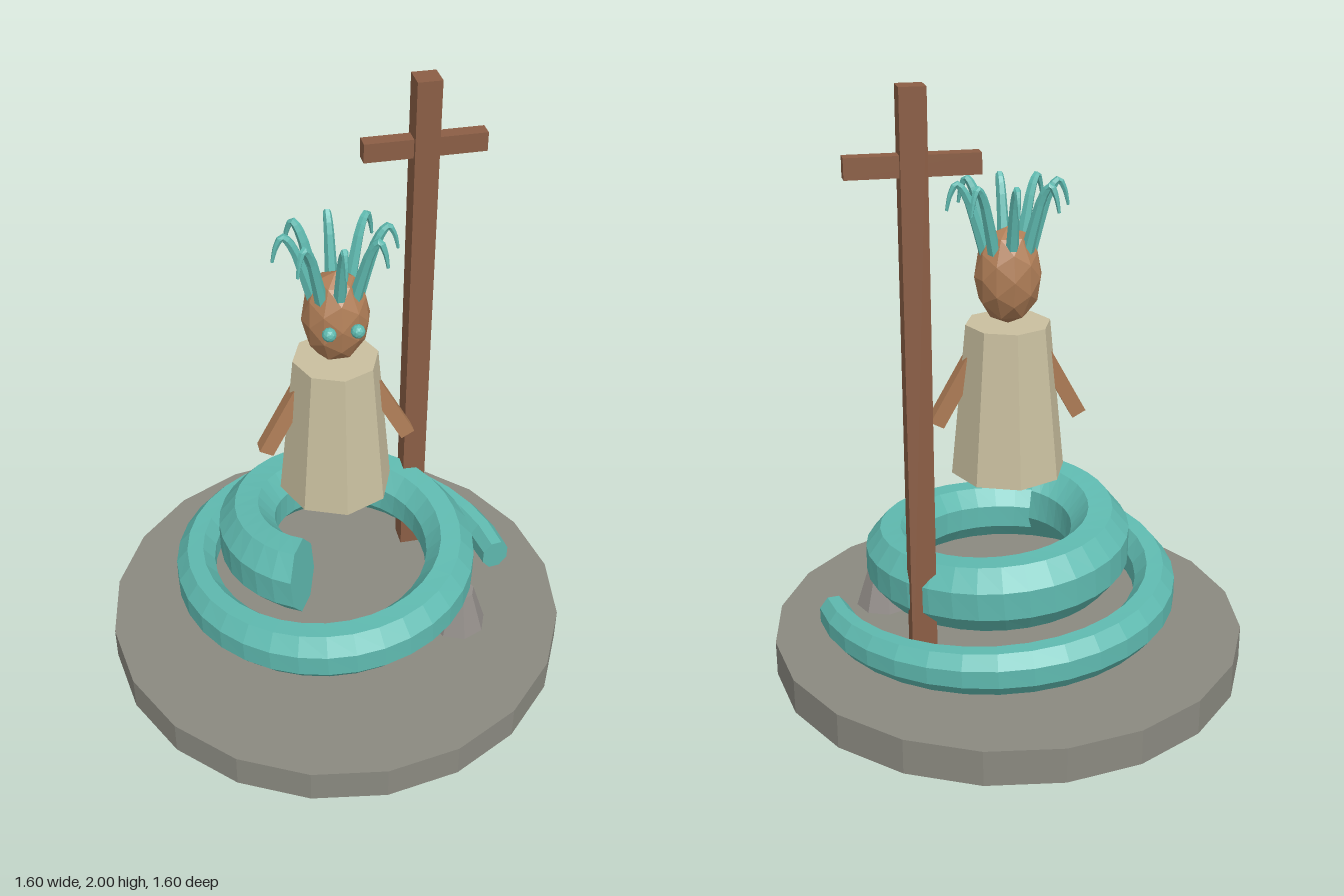
import * as THREE from 'three';

const mat = (name, color) => {
  const m = new THREE.MeshStandardMaterial({ color, flatShading: true });
  m.name = name;
  return m;
};

// Tapered tube along path(s), s in 0..1; ref fixes the roll of the cross-section
function sweep(path, radius, ref, sides, segs, stretch = 1) {
  const pos = [], idx = [];
  const a = new THREE.Vector3(), b = new THREE.Vector3();
  for (let i = 0; i <= segs; i++) {
    const s = i / segs, c = path(s), r = radius(s);
    const t = path(Math.min(1, s + 0.002)).sub(path(Math.max(0, s - 0.002))).normalize();
    a.crossVectors(t, ref).normalize();
    b.crossVectors(a, t);
    for (let j = 0; j < sides; j++) {
      const q = ((j + 0.5) / sides) * Math.PI * 2;
      const p = c.clone().addScaledVector(a, r * Math.cos(q)).addScaledVector(b, r * stretch * Math.sin(q));
      pos.push(p.x, p.y, p.z);
    }
  }
  const first = pos.length / 3, e0 = path(0), e1 = path(1);
  pos.push(e0.x, e0.y, e0.z, e1.x, e1.y, e1.z);
  for (let j = 0; j < sides; j++) {
    const k = (j + 1) % sides, last = segs * sides;
    for (let i = 0; i < segs; i++) {
      const u = i * sides, v = u + sides;
      idx.push(u + j, v + j, u + k, v + j, v + k, u + k);
    }
    idx.push(first, j, k, first + 1, last + k, last + j);
  }
  const g = new THREE.BufferGeometry();
  g.setAttribute('position', new THREE.Float32BufferAttribute(pos, 3));
  g.setIndex(idx);
  const flat = g.toNonIndexed();
  flat.computeVertexNormals();
  return flat;
}

export function createModel() {
  const root = new THREE.Group();
  const stone = mat('stone', 0x8a8980);
  const rock = mat('rock', 0x928d89);
  const teal = mat('teal scales', 0x5fbab0);
  const robe = mat('robe cloth', 0xc9bf9f);
  const skin = mat('skin', 0xb07e57);
  const wood = mat('wood', 0x8b5e45);

  const add = (name, geo, material, x = 0, y = 0, z = 0, parent = root) => {
    const m = new THREE.Mesh(geo, material);
    m.name = name;
    m.position.set(x, y, z);
    parent.add(m);
    return m;
  };

  // Plinth and small stump
  add('base', new THREE.CylinderGeometry(0.8, 0.8, 0.12, 20), stone, 0, 0.06, 0);
  add('stump', new THREE.CylinderGeometry(0.053, 0.1, 0.15, 8), rock, 0.4, 0.195, 0.2);

  // Post with crossbar
  add('post', new THREE.BoxGeometry(0.08, 1.87, 0.08), wood, 0.34, 1.065, -0.26);
  add('crossbar', new THREE.BoxGeometry(0.4, 0.064, 0.05), wood, 0.34, 1.773, -0.26);

  // Coiled tail, spiralling inward and upward from its thin end
  const turn = THREE.MathUtils.degToRad(594);
  const coil = (s) => {
    const r = 0.6 - 0.325 * Math.pow(s, 0.9), q = turn * s;
    return new THREE.Vector3(r * Math.cos(q), 0.21 + 0.265 * s, -r * Math.sin(q));
  };
  const girth = (s) => (0.047 + 0.055 * Math.pow(s, 0.8)) / Math.cos(Math.PI / 8);
  add('coiledTail', sweep(coil, girth, new THREE.Vector3(0, 1, 0), 8, 56, 1.25), teal);

  // Torso and head
  add('torso', new THREE.CylinderGeometry(0.14, 0.19, 0.51, 8), robe, 0, 0.94, 0);
  add('head', new THREE.IcosahedronGeometry(0.11, 1).scale(1, 1.45, 0.95), skin, 0, 1.352, 0);

  // Arms and eyes
  for (const side of [-1, 1]) {
    const arm = add(side > 0 ? 'leftArm' : 'rightArm', new THREE.BoxGeometry(0.05, 0.25, 0.05), skin,
      side * 0.179, 0.972, 0.005);
    arm.rotation.set(-0.05, 0, side * 0.5);
    add(side > 0 ? 'leftEye' : 'rightEye', new THREE.IcosahedronGeometry(0.023, 1), teal,
      side * 0.045, 1.362, 0.116);
  }

  // Crown of eight hooked serpents, set on an oval
  const crown = new THREE.Group();
  crown.name = 'serpentCrown';
  root.add(crown);
  const hook = [[0.072, 1.425], [0.1, 1.52], [0.135, 1.62], [0.163, 1.652], [0.183, 1.62], [0.195, 1.57]];
  for (let i = 0; i < 8; i++) {
    const q = (i / 8) * Math.PI * 2;
    const cx = Math.cos(q), cz = 0.77 * Math.sin(q), k = Math.hypot(cx, cz);
    const curve = new THREE.CatmullRomCurve3(hook.map(([x, y]) => new THREE.Vector3(x * k, y, 0)));
    const geo = sweep((s) => curve.getPoint(s), (s) => 0.022 - 0.017 * s, new THREE.Vector3(0, 0, 1), 6, 12);
    add('serpent', geo, teal, 0, 0, 0, crown).rotation.y = -Math.atan2(cz, cx);
  }
  return root;
}
